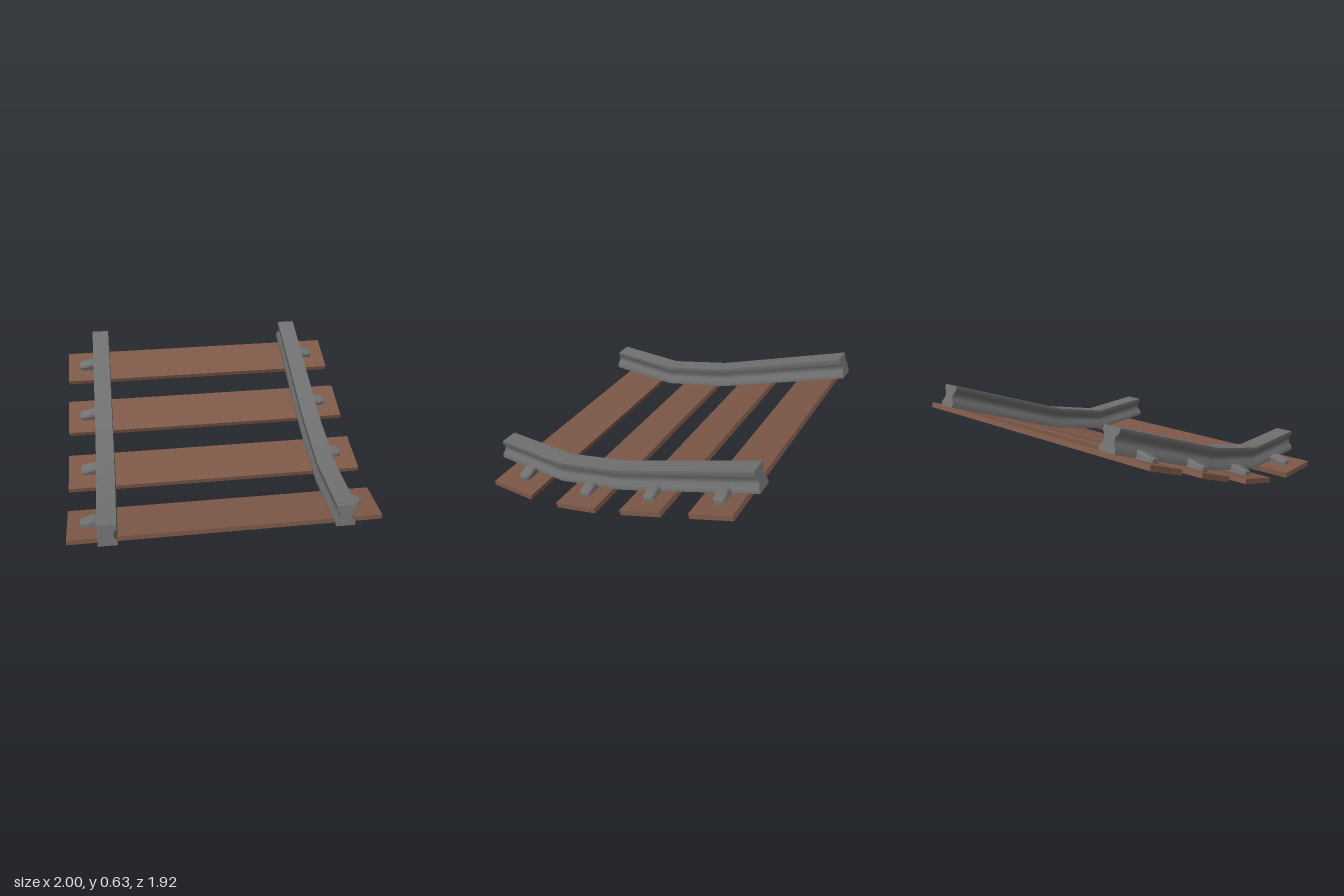
import * as THREE from 'three';
import { toCreasedNormals } from 'three/addons/utils/BufferGeometryUtils.js';

// Skin a row of rings (counter-clockwise seen from the first end) and cap both ends
function loft(rings, crease) {
  const pos = [];
  const tri = (...pts) => pts.forEach((p) => pos.push(p.x, p.y, p.z));
  const n = rings[0].length;
  const centre = (r) => r.reduce((s, p) => s.add(p), new THREE.Vector3()).divideScalar(n);
  const first = rings[0], last = rings[rings.length - 1];
  const c0 = centre(first), c1 = centre(last);
  for (let k = 0; k < n; k++) {
    const m = (k + 1) % n;
    for (let i = 0; i < rings.length - 1; i++) {
      const a = rings[i], b = rings[i + 1];
      tri(a[k], b[k], a[m]);
      tri(a[m], b[k], b[m]);
    }
    tri(c0, first[k], first[m]);
    tri(c1, last[m], last[k]);
  }
  const g = new THREE.BufferGeometry();
  g.setAttribute('position', new THREE.Float32BufferAttribute(pos, 3));
  return toCreasedNormals(g, crease);
}

// Rail: waisted section carried along a bent path
function railGeometry() {
  const half = [[0.06, 0], [0.06, 0.22], [0.039, 0.39], [0.039, 0.61], [0.06, 0.78], [0.06, 1]];
  const section = [...half, ...half.map(([x, v]) => [-x, v]).reverse()];
  // bottom z, bottom y, top z, top y
  const stations = [
    [0.96, 0.068, 0.942, 0.212],
    [0.46, 0.052, 0.46, 0.2],
    [0.0, 0.155, 0.025, 0.3],
    [-0.04, 0.167, -0.01, 0.311],
    [-0.96, 0.498, -0.912, 0.636],
  ];
  return loft(stations.map(([bz, by, tz, ty]) => section.map(([x, v]) =>
    new THREE.Vector3(x, by + (ty - by) * v, bz + (tz - bz) * v))), 0.95);
}

// Clip: stepped lug with a rounded outer end
function clipGeometry() {
  // distance from rail centre, height, half width
  const stations = [
    [0.03, 0.05, 0.038], [0.09, 0.05, 0.038], [0.13, 0.036, 0.04],
    [0.155, 0.033, 0.036], [0.17, 0.026, 0.024],
  ];
  return loft(stations.map(([d, h, w]) => [
    [-w, 0], [w, 0], [w, h * 0.72], [w * 0.8, h], [-w * 0.8, h], [-w, h * 0.72],
  ].map(([x, y]) => new THREE.Vector3(x, y, -d))), 0.35);
}

export function createModel() {
  const model = new THREE.Group();
  model.name = 'trackSection';
  const steel = new THREE.MeshStandardMaterial({ color: 0x707070 });
  const wood = new THREE.MeshStandardMaterial({ color: 0x7d5848 });
  const sides = [['left', 0.727, -1], ['right', -0.745, 1]];

  // Rails
  const railGeo = railGeometry();
  for (const [side, x] of sides) {
    const rail = new THREE.Mesh(railGeo, steel);
    rail.name = side + 'Rail';
    rail.position.x = x;
    model.add(rail);
  }

  // Sleepers with their clips: z, y, tilt in degrees, depth
  const thick = 0.034;
  const clipGeo = clipGeometry();
  const sleepers = [
    [0.704, 0.025, -1.8, 0.305], [0.194, 0.08, 13.5, 0.305],
    [-0.288, 0.233, 19.8, 0.297], [-0.757, 0.402, 19.8, 0.292],
  ];
  sleepers.forEach(([z, y, tilt, depth], i) => {
    const group = new THREE.Group();
    group.name = 'sleeperAssembly' + (i + 1);
    group.position.set(0, y, z);
    group.rotation.x = THREE.MathUtils.degToRad(tilt);
    const plank = new THREE.Mesh(new THREE.BoxGeometry(2, thick, depth), wood);
    plank.name = 'sleeper';
    group.add(plank);
    for (const [side, x, turn] of sides) {
      const clip = new THREE.Mesh(clipGeo, steel);
      clip.name = side + 'Clip';
      clip.position.set(x, thick / 2, 0);
      clip.rotation.y = turn * Math.PI / 2;
      group.add(clip);
    }
    model.add(group);
  });
  return model;
}
